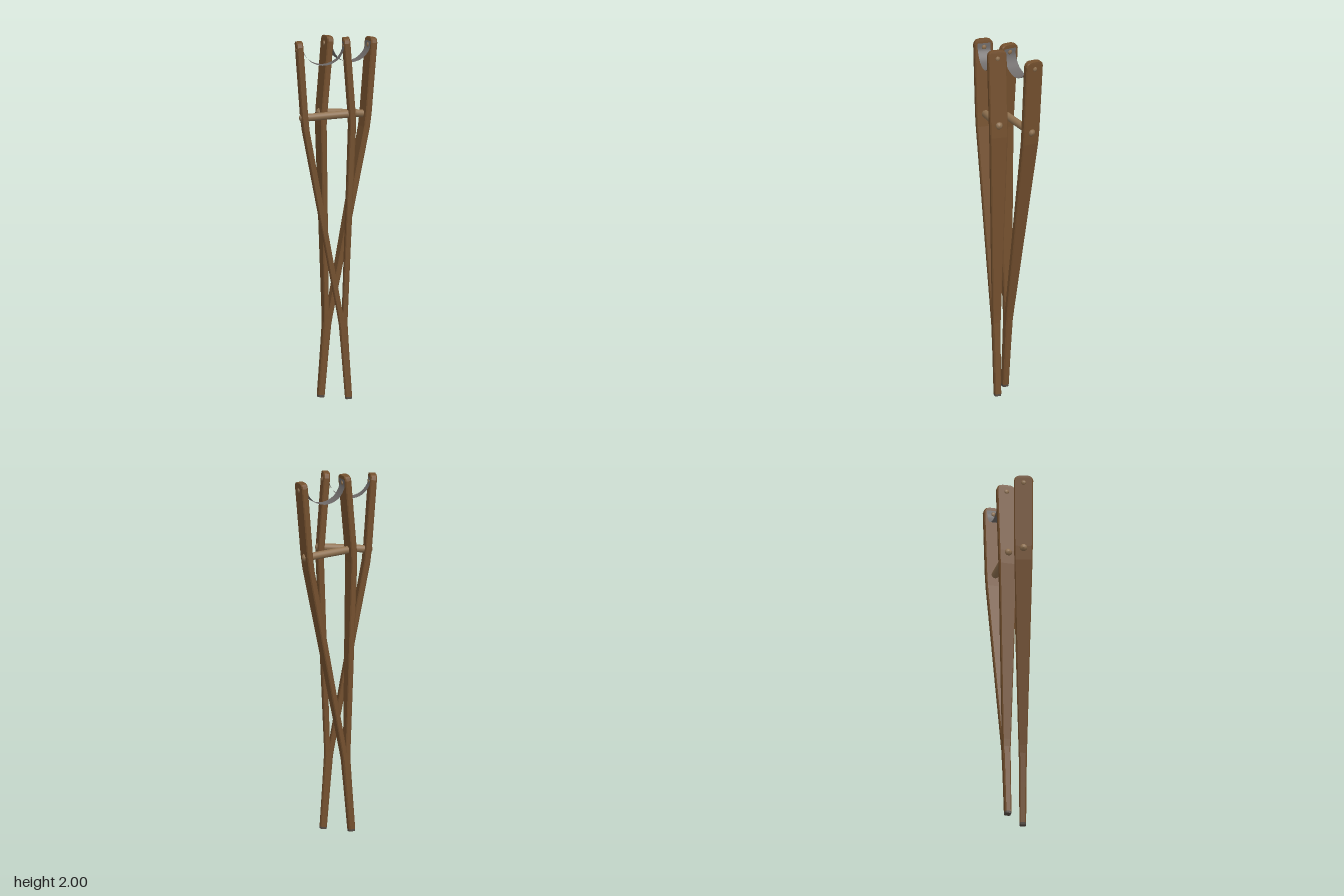
import * as THREE from 'three';

const material = (name, color, side = THREE.FrontSide) => {
  const m = new THREE.MeshStandardMaterial({ color, side });
  m.name = name;
  return m;
};

// Loft chamfered rectangles; each section is [y, centre x, width, depth]
function loft(sections) {
  const pos = [], index = [], n = 8;
  for (const [y, x, w, d] of sections) {
    const a = w / 2, b = d / 2, c = Math.min(w, d) * 0.17;
    const ring = [[a, b - c], [a - c, b], [c - a, b], [-a, b - c],
      [-a, c - b], [c - a, -b], [a - c, -b], [a, c - b]];
    for (const [u, v] of ring) pos.push(x + u, y, v);
  }
  const last = sections.length - 1;
  for (let i = 0; i < last; i++) {
    for (let j = 0; j < n; j++) {
      const a = i * n + j, b = i * n + (j + 1) % n;
      index.push(a, a + n, b, b, a + n, b + n);
    }
  }
  // End caps
  for (let j = 1; j < n - 1; j++) {
    index.push(0, j, j + 1);
    index.push(last * n, last * n + j + 1, last * n + j);
  }
  const g = new THREE.BufferGeometry();
  g.setAttribute('position', new THREE.Float32BufferAttribute(pos, 3));
  g.setIndex(index);
  const flat = g.toNonIndexed();
  // Rings ran clockwise seen from above: flip triangles so faces point outwards
  const p = flat.attributes.position;
  const A = new THREE.Vector3(), B = new THREE.Vector3(), C = new THREE.Vector3();
  let volume = 0;
  for (let i = 0; i < p.count; i += 3) {
    A.fromBufferAttribute(p, i);
    B.fromBufferAttribute(p, i + 1);
    C.fromBufferAttribute(p, i + 2);
    volume += A.dot(B.cross(C));
  }
  if (volume < 0) {
    for (let i = 0; i < p.count; i += 3) {
      B.fromBufferAttribute(p, i + 1);
      C.fromBufferAttribute(p, i + 2);
      p.setXYZ(i + 1, C.x, C.y, C.z);
      p.setXYZ(i + 2, B.x, B.y, B.z);
    }
  }
  flat.computeVertexNormals();
  return flat;
}

// Sagging sling between the two arm tops
function slingGeometry() {
  const half = [[-0.111, 1.972], [-0.109, 1.93], [-0.07, 1.876]];
  const path = [...half, [0, 1.853], ...half.map(([x, y]) => [-x, y]).reverse()];
  const curve = new THREE.CatmullRomCurve3(path.map(([x, y]) => new THREE.Vector3(x, y, 0)));
  const g = new THREE.PlaneGeometry(1, 0.073, 28, 1).rotateX(-Math.PI / 2);
  const p = g.attributes.position;
  for (let i = 0; i < p.count; i++) {
    const c = curve.getPoint(p.getX(i) + 0.5);
    p.setXY(i, c.x, c.y);
  }
  g.computeVertexNormals();
  return g;
}

// Round peg along x with slightly domed ends
function pegGeometry(radius, halfLength, dome) {
  const profile = [[0, -halfLength], [radius * 0.6, -halfLength + dome * 0.3],
    [radius, -halfLength + dome], [radius, halfLength - dome],
    [radius * 0.6, halfLength - dome * 0.3], [0, halfLength]];
  return new THREE.LatheGeometry(profile.map(([r, y]) => new THREE.Vector2(r, y)), 16)
    .rotateZ(Math.PI / 2);
}

export function createModel() {
  const wood = material('brown wood', 0x74502e);
  const paleWood = material('pale wood', 0x8f7150);
  const leather = material('grey leather', 0x6e6a69, THREE.DoubleSide);
  const rubber = material('worn tip', 0x5a5048);

  function crutch(name) {
    const group = new THREE.Group();
    group.name = name;
    const add = (part, geometry, mat, x = 0, y = 0) => {
      const mesh = new THREE.Mesh(geometry, mat);
      mesh.name = part;
      mesh.position.set(x, y, 0);
      group.add(mesh);
    };

    // Pair of arms: joined low down, bent below the grip, rounded at the top
    for (const s of [-1, 1]) {
      add('arm', loft([
        [0.36, s * 0.004, 0.028, 0.04],
        [0.46, s * 0.012, 0.029, 0.047],
        [1.5, s * 0.128, 0.034, 0.099],
        [1.58, s * 0.131, 0.035, 0.102],
        [1.965, s * 0.13, 0.036, 0.106],
        [1.98, s * 0.13, 0.036, 0.096],
        [1.988, s * 0.13, 0.035, 0.08],
        [1.992, s * 0.13, 0.034, 0.055],
      ]), wood);
      add('rivet', pegGeometry(0.013, 0.023, 0.004), paleWood, s * 0.13, 1.95);
    }

    // Lower shaft and tip
    add('shaft', loft([
      [0.012, 0, 0.037, 0.037],
      [0.25, 0, 0.041, 0.04],
      [0.43, 0, 0.046, 0.045],
      [0.48, 0, 0.036, 0.044],
    ]), wood);
    add('tip', loft([[0, 0, 0.034, 0.034], [0.012, 0, 0.037, 0.037]]), rubber);

    add('handGrip', pegGeometry(0.021, 0.16, 0.012), paleWood, 0, 1.57);
    add('underarmSling', slingGeometry(), leather);
    return group;
  }

  // Two crutches leaning across each other
  const model = new THREE.Group();
  model.name = 'crutches';
  const right = crutch('frontCrutch');
  right.position.set(0.053, 0.001, 0.072);
  right.rotation.set(0, -0.12, 0.073);
  const left = crutch('backCrutch');
  left.position.set(-0.08, 0.001, -0.029);
  left.rotation.set(0, 0.145, -0.086);
  model.add(right, left);
  return model;
}
